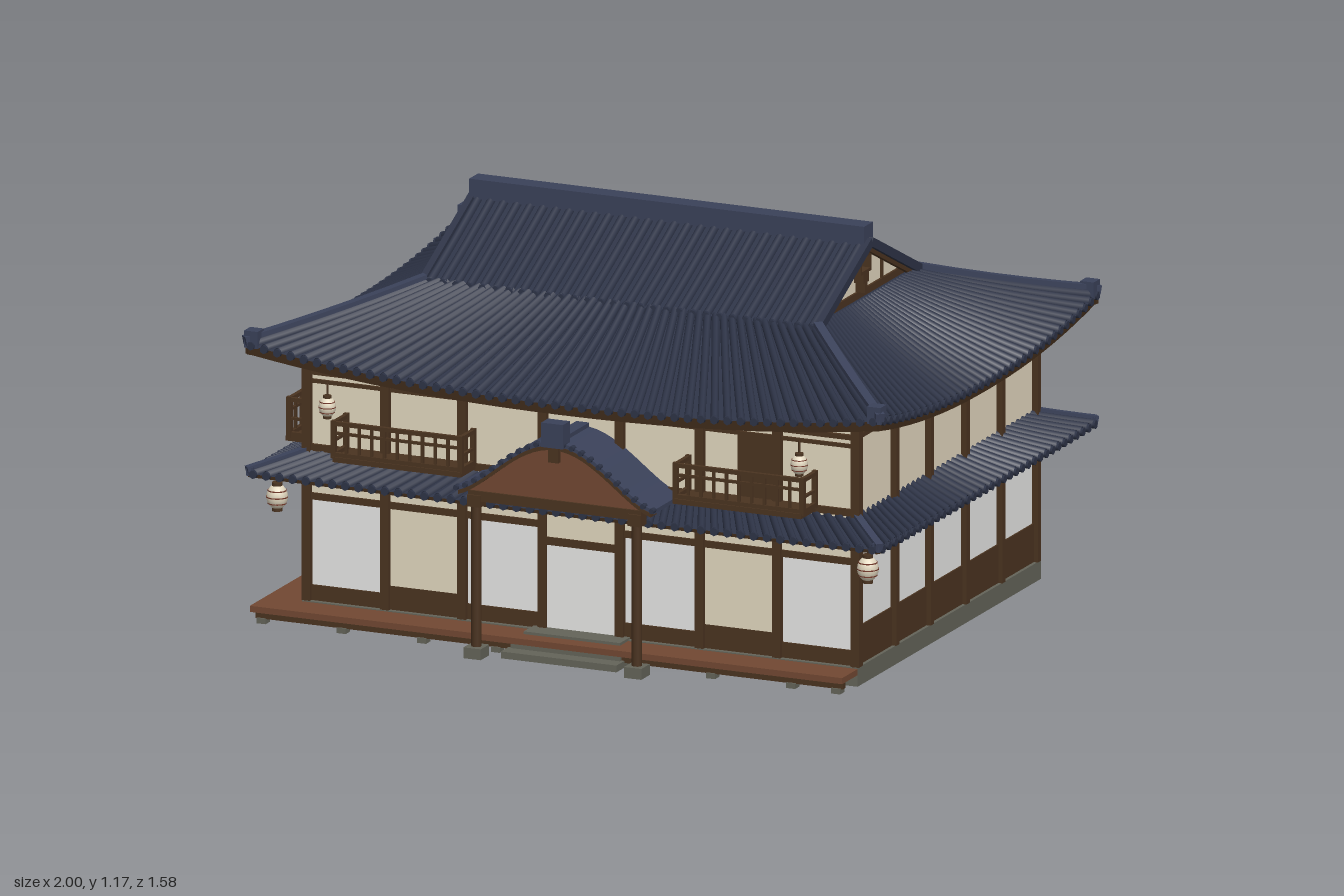
import * as THREE from 'three';
import { mergeGeometries } from 'three/addons/utils/BufferGeometryUtils.js';
import { ParametricGeometry } from 'three/addons/geometries/ParametricGeometry.js';

const mat = (name, color, side = THREE.FrontSide) => {
  const m = new THREE.MeshStandardMaterial({ color, side });
  m.name = name;
  return m;
};
const lerp = THREE.MathUtils.lerp;
const ZC = -0.035; // depth centre of the house body

export function createModel() {
  const root = new THREE.Group();
  root.name = 'traditionalInn';
  const tile = mat('roofTile', 0x2d3346, THREE.DoubleSide);
  const ridgeMat = mat('ridgeTile', 0x3a4159);
  const wood = mat('darkWood', 0x4a3320);
  const soffitMat = mat('soffitWood', 0x3f2b19, THREE.DoubleSide);
  const deckMat = mat('deckWood', 0x724832);
  const plaster = mat('plaster', 0xe2d7bf);
  const paper = mat('screenPaper', 0xe6e6e5);
  const doorMat = mat('doorPaper', 0xeeeeec);
  const stone = mat('stone', 0x646459);
  const red = mat('lanternBand', 0x74382a);

  const add = (name, geo, m, parent = root) => {
    const mesh = new THREE.Mesh(geo, m);
    mesh.name = name;
    parent.add(mesh);
    return mesh;
  };
  const boxGeo = (x0, x1, y0, y1, z0, z1) => new THREE.BoxGeometry(x1 - x0, y1 - y0, z1 - z0)
    .translate((x0 + x1) / 2, (y0 + y1) / 2, (z0 + z1) / 2);
  const box = (name, m, ...b) => add(name, boxGeo(...b), m);
  // square beam between two points
  const beam = (a, b, w, h) => {
    const d = b.clone().sub(a);
    const o = new THREE.Object3D();
    o.position.copy(a).add(b).multiplyScalar(0.5);
    o.lookAt(b);
    o.updateMatrix();
    return new THREE.BoxGeometry(w, h, d.length()).applyMatrix4(o.matrix);
  };
  const V = (x, y, z) => new THREE.Vector3(x, y, z);

  // ---------- tiled roof faces ----------
  // P(u, s): u runs along the eave (-1..1), s runs from eave (0) to top (1)
  const sheet = (P, nu, nv, dy = 0) => new ParametricGeometry((u, s, t) => {
    t.copy(P(u * 2 - 1, s));
    t.y += dy;
  }, nu, nv);
  const tileRibs = (P, n, r) => {
    const parts = [];
    for (let i = 0; i < n; i++) {
      const u = ((i + 0.5) / n) * 2 - 1;
      parts.push(new ParametricGeometry((c, s, t) => {
        const a = Math.PI * (1 - c);
        t.copy(P(u, s));
        t.x += r * Math.cos(a);
        t.y += r * 1.2 * Math.sin(a);
      }, 5, 6));
      const e = P(u, 0);
      parts.push(new THREE.CylinderGeometry(r, r, 0.012, 7).rotateX(Math.PI / 2).translate(e.x, e.y, e.z));
    }
    return mergeGeometries(parts);
  };
  const place = (geo, k) => geo.rotateY(k * Math.PI / 2).translate(0, 0, ZC);

  function skirtRoof(name, o) {
    for (let k = 0; k < 4; k++) {
      const [oa, od, ia, id, wa, wd] = k % 2
        ? [o.oz, o.ox, o.iz, o.ix, o.wz, o.wx] : [o.ox, o.oz, o.ix, o.iz, o.wx, o.wz];
      const eave = u => o.eave + o.lift * Math.abs(u) ** 2.2;
      const P = (u, s) => V(lerp(oa, ia, s) * u, lerp(eave(u), o.top, s) - o.sag * s * (1 - s), lerp(od, id, s));
      const under = (u, s) => V(lerp(oa, wa, s) * u, lerp(eave(u) - o.thick, o.wallTop, s), lerp(od, wd, s) - 0.01 * (1 - s));
      add(name + 'Tiles', place(sheet(P, 20, 6), k), tile);
      add(name + 'Ribs', place(tileRibs(P, k % 2 ? o.nz : o.nx, o.r), k), tile);
      add(name + 'Soffit', place(sheet(under, 20, 2), k), soffitMat);
      const fascia = (u, s) => P(u, 0).add(V(0, -o.thick * (1 - s), -0.008));
      add(name + 'Fascia', place(sheet(fascia, 20, 1), k), soffitMat);
      // hip ridge and its upturned end tile
      const hipPoint = i => P(1, i / 5).add(V(0, 0.01, 0));
      const hip = [];
      for (let i = 0; i < 5; i++) hip.push(beam(hipPoint(i), hipPoint(i + 1), o.hip, o.hip));
      add(name + 'HipRidge', place(mergeGeometries(hip), k), ridgeMat);
      const c = P(1, 0.02);
      add(name + 'CornerTile', place(new THREE.BoxGeometry(o.end, o.end * 1.2, o.end).translate(c.x - o.end * 0.3, c.y + o.end * 0.3, c.z - o.end * 0.3), k), ridgeMat);
    }
  }
  skirtRoof('mainRoof', { ox: 0.99, oz: 0.75, ix: 0.61, iz: 0.343, wx: 0.85, wz: 0.61, eave: 0.757, lift: 0.068, top: 0.95, sag: 0.025, wallTop: 0.745, thick: 0.03, nx: 48, nz: 36, r: 0.0125, hip: 0.026, end: 0.042 });
  skirtRoof('lowerRoof', { ox: 0.985, oz: 0.745, ix: 0.85, iz: 0.61, wx: 0.85, wz: 0.61, eave: 0.44, lift: 0.003, top: 0.487, sag: 0.004, wallTop: 0.432, thick: 0.012, nx: 48, nz: 36, r: 0.0125, hip: 0.022, end: 0.022 });

  // upper gabled roof
  for (const k of [0, 2]) {
    const P = (u, s) => V(0.615 * u, lerp(0.952, 1.122, s) - 0.012 * s * (1 - s), lerp(0.35, 0, s));
    add('gableRoofTiles', place(sheet(P, 1, 6), k), tile);
    add('gableRoofUnderside', place(sheet(P, 1, 6, -0.012), k), soffitMat);
    add('gableRoofRibs', place(tileRibs(P, 30, 0.0125), k), tile);
    for (const u of [-1, 1]) {
      add('vergeRidge', place(beam(P(u, 0), P(u, 1), 0.02, 0.026), k), tile);
      add('bargeBoard', place(beam(P(u * 0.985, 0).add(V(0, -0.02, 0)), P(u * 0.985, 1).add(V(0, -0.02, 0)), 0.014, 0.014), k), wood);
    }
  }
  box('gableFloor', tile, -0.61, 0.61, 0.935, 0.949, ZC - 0.34, ZC + 0.34);
  box('mainRidge', ridgeMat, -0.618, 0.612, 1.115, 1.172, ZC - 0.03, ZC + 0.03);

  // gable walls with frame and pendant
  for (const s of [-1, 1]) {
    const tri = new THREE.Shape([new THREE.Vector2(-0.34, 0.945), new THREE.Vector2(0.34, 0.945), new THREE.Vector2(0, 1.108)]);
    add('gableWall', new THREE.ExtrudeGeometry(tri, { depth: 0.02, bevelEnabled: false }).rotateY(Math.PI / 2).translate(s * 0.565 - 0.01, 0, ZC), plaster);
    const bar = (y0, y1, z0, z1, x = 0.582) => box('gableFrame', wood, Math.min(s * 0.57, s * x), Math.max(s * 0.57, s * x), y0, y1, ZC + z0, ZC + z1);
    bar(0.948, 0.97, -0.31, 0.31);
    for (const z of [-0.165, 0.165]) bar(0.965, 1.03, z - 0.004, z + 0.004);
    bar(1.075, 1.085, -0.035, 0.035, 0.605);
    bar(1.028, 1.037, -0.035, 0.035, 0.605);
    for (const z of [-0.035, 0.028]) bar(1.03, 1.085, z, z + 0.007, 0.605);
    bar(1.0, 1.03, -0.018, 0.018, 0.605);
    bar(0.97, 1.0, -0.007, 0.007, 0.605);
  }

  // ---------- house body ----------
  const zF = 0.575, zB = -0.645;
  box('foundation', stone, -0.865, 0.865, 0, 0.055, -0.66, 0.595);
  box('lowerWall', paper, -0.85, 0.85, 0.05, 0.44, zB, zF);
  box('upperWall', plaster, -0.85, 0.85, 0.44, 0.755, zB, zF);
  box('kickBoard', wood, -0.855, 0.855, 0.055, 0.168, zB - 0.005, zF - 0.01);
  box('frontKickBoard', wood, -0.85, 0.85, 0.055, 0.1, zF - 0.01, zF + 0.006);
  box('lowerBeam', wood, -0.858, 0.858, 0.412, 0.43, zB - 0.008, zF + 0.01);
  box('upperBeam', wood, -0.858, 0.858, 0.72, 0.734, zB - 0.008, zF + 0.012);
  box('upperLintel', wood, -0.85, 0.85, 0.695, 0.706, zF, zF + 0.008);
  box('lowerLintel', wood, -0.85, 0.85, 0.352, 0.372, zF, zF + 0.01);
  box('upperSill', wood, -0.855, 0.855, 0.495, 0.515, zF, zF + 0.01);
  box('transom', plaster, -0.85, 0.85, 0.372, 0.412, zF, zF + 0.004);

  // corner and bay posts
  for (const x of [-0.855, -0.61, -0.37, -0.12, 0.12, 0.37, 0.61, 0.855])
    box('frontPost', wood, x - 0.013, x + 0.013, 0.055, 0.75, zF - 0.01, zF + 0.018);
  for (const s of [-1, 1]) {
    for (const z of [0.575, 0.325, 0.09, -0.155, -0.4, -0.643])
      box('sidePost', wood, s * 0.857 - 0.011, s * 0.857 + 0.011, 0.055, 0.75, z - 0.011, z + 0.011);
    // plastered front bays
    box('plasterBay', plaster, s * 0.49 - 0.108, s * 0.49 + 0.108, 0.125, 0.355, zF, zF + 0.005);
    box('bayBoard', wood, s * 0.49 - 0.108, s * 0.49 + 0.108, 0.1, 0.125, zF, zF + 0.006);
  }

  // entrance
  box('entranceDoor', doorMat, -0.107, 0.107, 0.055, 0.31, zF, zF + 0.008);
  box('doorHead', wood, -0.12, 0.12, 0.305, 0.328, zF, zF + 0.016);
  box('doorTransom', plaster, -0.107, 0.107, 0.328, 0.412, zF, zF + 0.011);
  box('balconyDoor', wood, 0.485, 0.597, 0.515, 0.695, zF, zF + 0.006);

  // steps
  [[0.15, 0.06, 0.65], [0.17, 0.04, 0.695], [0.18, 0.02, 0.74]].forEach(([w, y, z]) =>
    box('stoneStep', stone, -w, w, 0, y, 0.58, z));

  // veranda deck with edge beams and footings
  box('frontDeck', deckMat, -0.98, 0.865, 0.034, 0.052, 0.585, 0.7);
  box('sideDeck', deckMat, -0.98, -0.86, 0.034, 0.052, -0.15, 0.585);
  box('frontDeckBeam', wood, -0.97, 0.86, 0.014, 0.036, 0.665, 0.685);
  box('sideDeckBeam', wood, -0.965, -0.945, 0.014, 0.036, -0.14, 0.665);
  for (const x of [-0.95, -0.7, -0.45, -0.22, 0.22, 0.45, 0.7, 0.84])
    box('deckFoot', stone, x - 0.014, x + 0.014, 0, 0.016, 0.66, 0.69);
  for (const z of [-0.12, 0.12, 0.36])
    box('deckFoot', stone, -0.965, -0.937, 0, 0.016, z, z + 0.028);
  // slatted side bench
  box('benchCore', wood, -0.945, -0.87, 0.01, 0.125, -0.59, -0.21);
  for (let i = 0; i < 4; i++) {
    const y = 0.02 + i * 0.03;
    box('benchSlat', deckMat, -0.955, -0.945, y, y + 0.014, -0.6, -0.2);
    box('benchTopSlat', deckMat, -0.952 + i * 0.022, -0.94 + i * 0.022, 0.122, 0.132, -0.6, -0.2);
  }

  // ---------- balconies ----------
  function railing(a, b, y0, y1) {
    const len = a.distanceTo(b), n = len < 0.1 ? 1 : Math.round(len / 0.04);
    const at = (t, y) => a.clone().lerp(b, t).setY(y);
    const mid = lerp(y0, y1, n > 1 ? 0.72 : 0.5);
    const parts = [beam(at(0, y1), at(1, y1), 0.012, 0.012), beam(at(0, mid), at(1, mid), 0.008, 0.008), beam(at(0, y0 + 0.01), at(1, y0 + 0.01), 0.012, 0.014)];
    for (let i = 0; i <= n; i++) {
      const p = at(i / n, 0), w = i % n ? 0.004 : 0.007;
      parts.push(boxGeo(p.x - w, p.x + w, y0, y1 + (i % n ? 0 : 0.008), p.z - w, p.z + w));
    }
    add('balconyRailing', mergeGeometries(parts), wood);
  }
  for (const s of [-1, 1]) {
    box('balconyFloor', wood, s * 0.53 - 0.2, s * 0.53 + 0.2, 0.5, 0.515, 0.575, 0.685);
    railing(V(s * 0.335, 0, 0.675), V(s * 0.73, 0, 0.675), 0.51, 0.612);
    for (const x of [0.335, 0.73]) railing(V(s * x, 0, 0.59), V(s * x, 0, 0.675), 0.51, 0.612);
  }
  box('sideBalconyFloor', wood, -0.96, -0.85, 0.49, 0.505, -0.6, 0.5);
  railing(V(-0.95, 0, -0.595), V(-0.95, 0, 0.495), 0.5, 0.612);
  for (const z of [-0.595, 0.495]) railing(V(-0.95, 0, z), V(-0.87, 0, z), 0.5, 0.612);

  // ---------- entrance porch ----------
  const arch = x => 0.495 + 0.165 * (0.5 + 0.5 * Math.cos(Math.PI * Math.min(1, Math.abs(x) / 0.31))) ** 0.75;
  const archBand = (w, top, bottom, z0, z1) => {
    const pts = [], n = 28;
    for (let i = 0; i <= n; i++) { const x = lerp(-w, w, i / n); pts.push(new THREE.Vector2(x, arch(x) + top)); }
    for (let i = n; i >= 0; i--) { const x = lerp(-w, w, i / n); pts.push(new THREE.Vector2(x, bottom === null ? 0.488 : arch(x) + bottom)); }
    return new THREE.ExtrudeGeometry(new THREE.Shape(pts), { depth: z1 - z0, bevelEnabled: false }).translate(0, 0, z0);
  };
  add('porchRoof', archBand(0.31, 0.004, -0.008, 0.56, 0.768), ridgeMat);
  add('porchBargeBoard', archBand(0.3, -0.008, -0.02, 0.73, 0.77), wood);
  add('porchPediment', archBand(0.275, -0.016, null, 0.735, 0.762), deckMat);
  for (let i = 0; i < 23; i++) {
    const x = lerp(-0.305, 0.305, i / 22);
    add('porchTileEnd', new THREE.CylinderGeometry(0.008, 0.008, 0.02, 7).rotateX(Math.PI / 2).translate(x, arch(x) + 0.001, 0.767), tile);
  }
  box('porchRidge', ridgeMat, -0.02, 0.02, 0.65, 0.675, 0.57, 0.76);
  box('porchRidgeEnd', ridgeMat, -0.034, 0.034, 0.65, 0.722, 0.738, 0.785);
  box('porchPendant', wood, -0.016, 0.016, 0.605, 0.65, 0.76, 0.778);
  box('porchBeam', wood, -0.27, 0.27, 0.462, 0.492, 0.738, 0.768);
  for (const s of [-1, 1]) {
    const x = s * 0.25;
    add('porchPost', new THREE.CylinderGeometry(0.015, 0.015, 0.46, 10).translate(x, 0.26, 0.753), wood);
    box('porchPostCap', wood, x - 0.02, x + 0.02, 0.445, 0.48, 0.733, 0.773);
    box('porchPostBase', stone, x - 0.027, x + 0.027, 0, 0.032, 0.725, 0.783);
  }

  // ---------- lanterns ----------
  function lantern(x, y, z, r) {
    const g = new THREE.Group();
    g.name = 'lantern';
    g.position.set(x, y, z);
    root.add(g);
    const cyl = (name, rad, h, py, m) => add(name, new THREE.CylinderGeometry(rad, rad, h, 14).translate(0, py, 0), m, g);
    add('lanternPaper', new THREE.SphereGeometry(r, 14, 10).scale(1, 1.2, 1), plaster, g);
    for (const t of [-0.5, 0, 0.5]) cyl('lanternStripe', r * Math.sqrt(1 - t * t) * 1.03, r * 0.1, t * r * 1.2, red);
    for (const t of [-1, 1]) cyl('lanternCap', r * 0.5, r * 0.3, t * r * 1.2, wood);
    cyl('lanternCord', 0.003, r * 1.6, r * 2, wood);
  }
  for (const s of [-1, 1]) {
    lantern(s * 0.92, 0.367, 0.645, 0.031);
    lantern(s * 0.735, 0.668, 0.708, 0.025);
  }
  return root;
}
